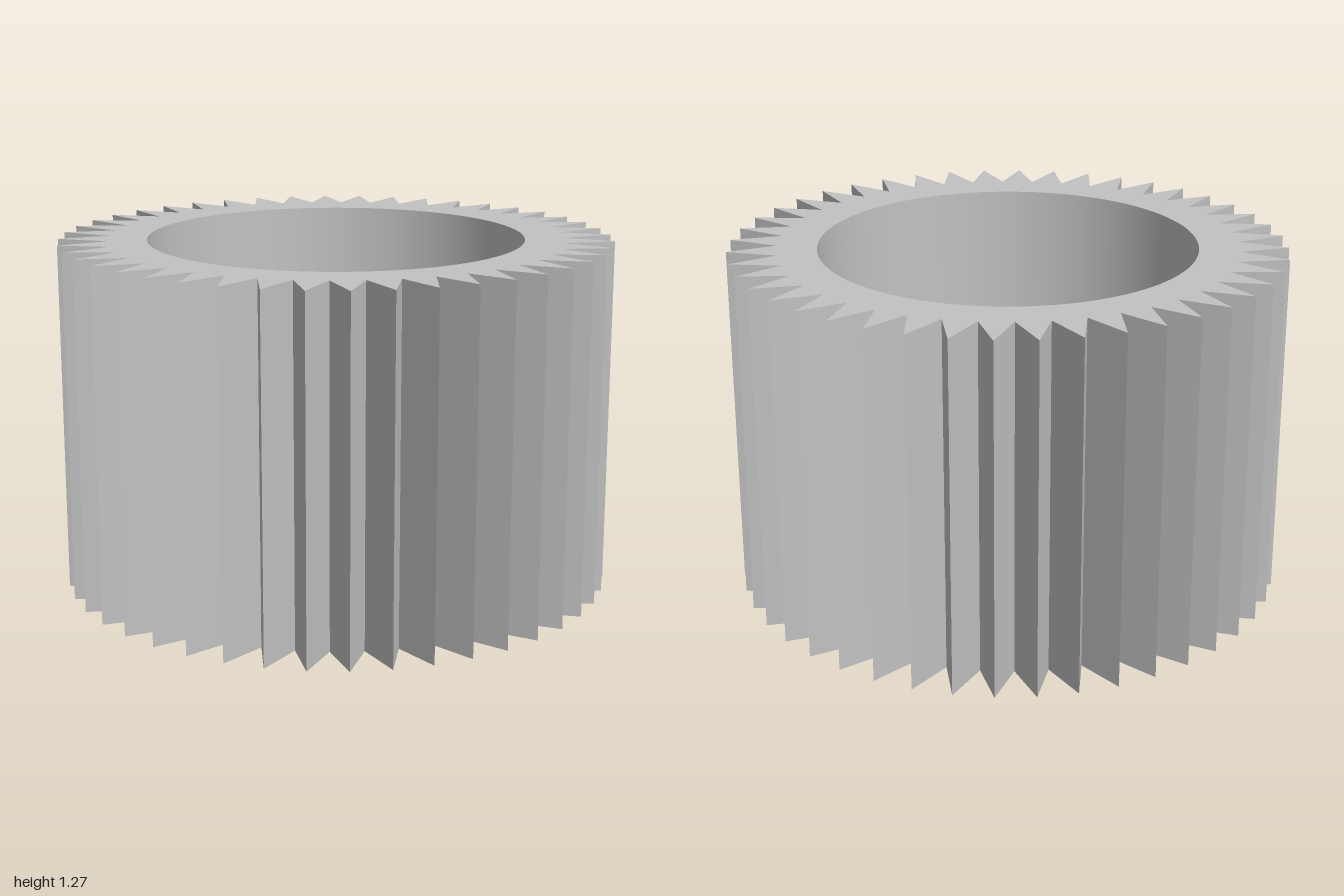
import * as THREE from 'three';
import { toCreasedNormals } from 'three/addons/utils/BufferGeometryUtils.js';

const TEETH = 44;
const TIP_RADIUS = 1;
const ROOT_RADIUS = 0.825;
const BORE_RADIUS = 0.68;
const HEIGHT = 1.27;

export function createModel() {
  const group = new THREE.Group();
  group.name = 'toothedRing';

  const greyMetal = new THREE.MeshStandardMaterial({ color: 0xc2c2c2 });
  greyMetal.name = 'greyMetal';

  // Toothed outline: tips and roots alternate around the rim
  const points = [];
  for (let i = 0; i < TEETH * 2; i++) {
    const angle = (i * Math.PI) / TEETH;
    const radius = i % 2 === 0 ? TIP_RADIUS : ROOT_RADIUS;
    points.push(new THREE.Vector2(radius * Math.cos(angle), radius * Math.sin(angle)));
  }
  const outline = new THREE.Shape(points);

  // Round bore through the middle
  outline.holes.push(new THREE.Path().absarc(0, 0, BORE_RADIUS, 0, Math.PI * 2, true));

  const extruded = new THREE.ExtrudeGeometry(outline, {
    depth: HEIGHT,
    bevelEnabled: false,
    curveSegments: 48,
  });
  extruded.rotateX(-Math.PI / 2);

  // Smooth bore wall, sharp teeth and rims
  const ring = new THREE.Mesh(toCreasedNormals(extruded, Math.PI / 6), greyMetal);
  ring.name = 'gearRing';
  group.add(ring);

  return group;
}
